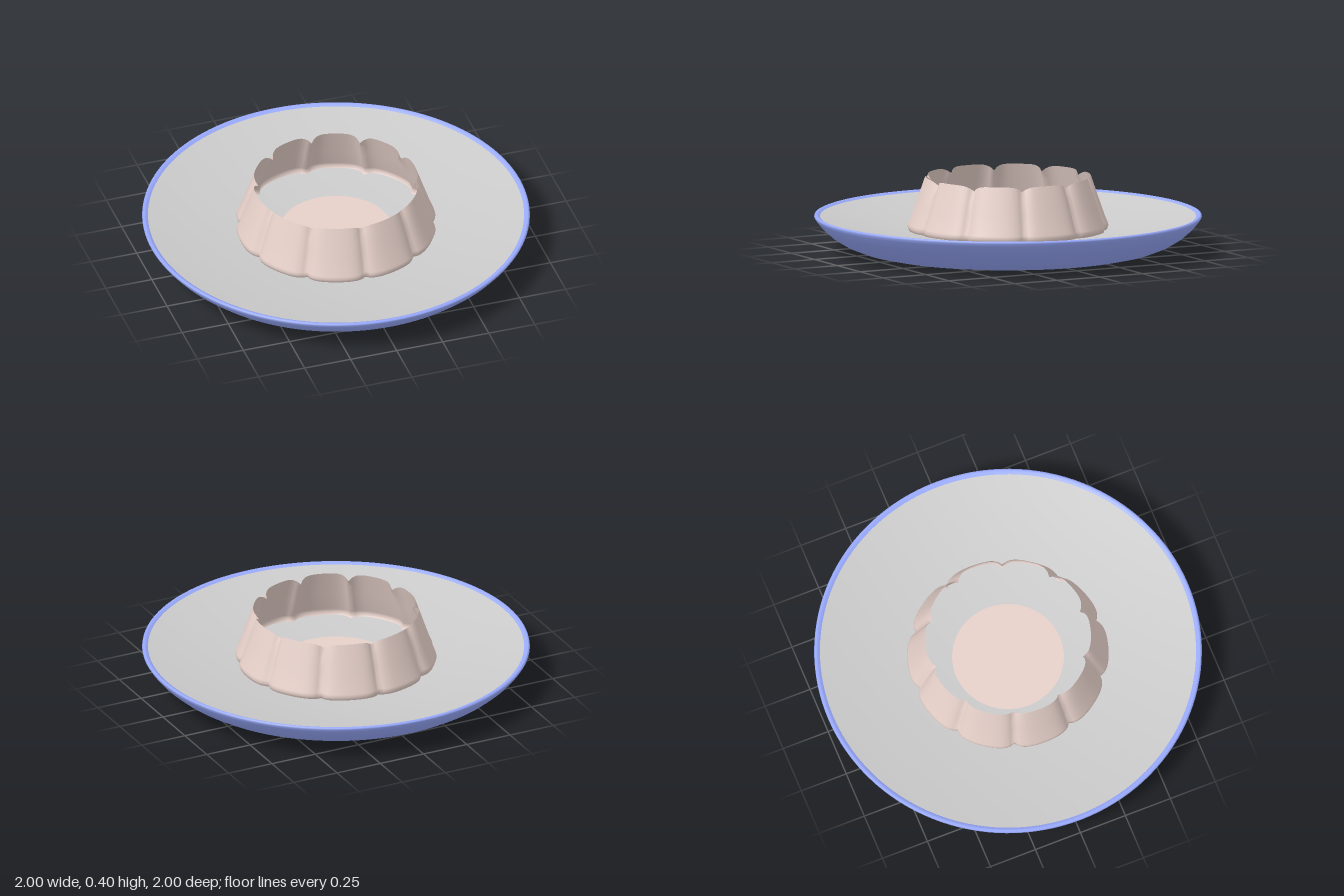
import * as THREE from 'three';

const LOBES = 10, STEPS = 16;

function lathe(name, points, color) {
  const mesh = new THREE.Mesh(
    new THREE.LatheGeometry(points.map(([r, y]) => new THREE.Vector2(r, y)), 128),
    new THREE.MeshStandardMaterial({ color, side: THREE.DoubleSide })
  );
  mesh.name = name;
  return mesh;
}

// Open cup with scalloped sides: each profile ring is pinched in at the grooves
function flutedCup() {
  const profile = [ // radius, height, share of the groove depth
    [0.428, 0.4, 1], [0.452, 0.33, 1], [0.476, 0.26, 1], [0.5, 0.19, 1], [0.515, 0.155, 1],
    [0.519, 0.14, 1], [0.513, 0.122, 1], [0.497, 0.11, 1], [0.47, 0.105, 0.8],
    [0.44, 0.105, 0.5], [0.3, 0.105, 0], [0, 0.105, 0]
  ];
  const cols = LOBES * STEPS, pos = [], index = [];
  profile.forEach(([radius, height, share], row) => {
    for (let i = 0; i < cols; i++) {
      const a = (i / cols) * Math.PI * 2;
      const u = Math.abs(((i % STEPS) / STEPS) * 2 - 1); // 1 at a groove, 0 mid-lobe
      const dip = u ** 5;
      const r = radius - 0.028 * share * dip;
      const y = row === 0 ? height - 0.03 * dip : height;
      pos.push(Math.sin(a) * r, y, Math.cos(a) * r);
      if (row < profile.length - 1) {
        const p = row * cols + i, q = row * cols + ((i + 1) % cols);
        index.push(p, p + cols, q, q, p + cols, q + cols);
      }
    }
  });
  const geo = new THREE.BufferGeometry();
  geo.setAttribute('position', new THREE.Float32BufferAttribute(pos, 3));
  geo.setIndex(index);
  geo.computeVertexNormals();
  const mesh = new THREE.Mesh(geo,
    new THREE.MeshStandardMaterial({ color: 0xe6d0c9, side: THREE.DoubleSide }));
  mesh.name = 'flutedCup';
  return mesh;
}

export function createModel() {
  const group = new THREE.Group();
  group.name = 'plateWithFlutedCup';

  // Underside and rolled rim
  const shell = [
    [0, 0], [0.4, 0], [0.62, 0.002], [0.7, 0.008], [0.78, 0.026], [0.85, 0.054],
    [0.91, 0.091], [0.96, 0.135], [0.99, 0.172], [1, 0.188], [0.998, 0.196],
    [0.99, 0.2], [0.98, 0.196], [0.97, 0.19]
  ];
  group.add(lathe('plateShell', shell, 0x9aabff));

  // Shallow concave top surface
  const dish = [];
  for (let i = 12; i >= 0; i--) {
    const r = (0.97 * i) / 12;
    dish.push([r, 0.0966 + 0.0993 * r * r]);
  }
  group.add(lathe('plateTop', dish, 0xcccccc));

  group.add(flutedCup());
  return group;
}
